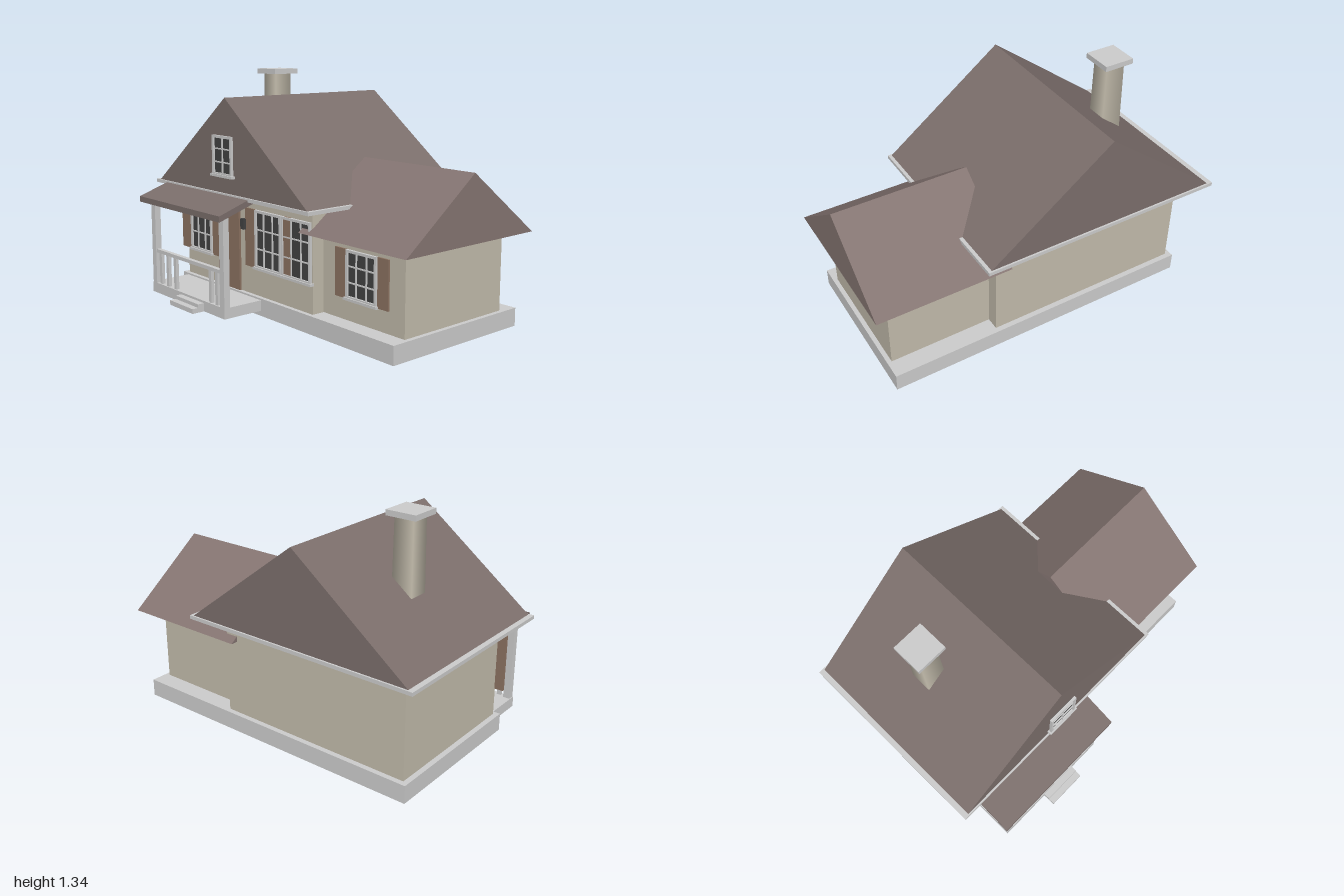
import * as THREE from 'three';

const mat = (color) => new THREE.MeshStandardMaterial({ color });
const GREY = mat(0xcccccc), WALL = mat(0xc2bbab), ROOF = mat(0x7b6e6b), WING_ROOF = mat(0x857572);
const WOOD = mat(0x8c7261), DARK = mat(0x424242);

export function createModel() {
  const house = new THREE.Group();
  house.name = 'house';

  const mesh = (name, geo, material, parent = house) => {
    const m = new THREE.Mesh(geo, material);
    m.name = name;
    parent.add(m);
    return m;
  };

  // box given by its limits on each axis
  const box = (name, [x0, x1], [y0, y1], [z0, z1], material, parent) => {
    const geo = new THREE.BoxGeometry(x1 - x0, y1 - y0, z1 - z0);
    geo.translate((x0 + x1) / 2, (y0 + y1) / 2, (z0 + z1) / 2);
    return mesh(name, geo, material, parent);
  };

  // outline pushed along z, or along x when the outline is given as (z, y)
  const prism = (name, points, axis, from, to, material) => {
    const shape = new THREE.Shape(points.map(([a, y]) => new THREE.Vector2(axis === 'x' ? -a : a, y)));
    const geo = new THREE.ExtrudeGeometry(shape, { depth: to - from, bevelEnabled: false });
    geo.translate(0, 0, from);
    if (axis === 'x') geo.rotateY(Math.PI / 2);
    return mesh(name, geo, material);
  };

  // foundation and walls
  box('foundation', [-0.9, 0.92], [0, 0.1], [-0.565, 0.36], GREY);
  box('mainWalls', [-0.87, 0.305], [0.1, 0.67], [-0.535, 0.335], WALL);
  box('wingWalls', [0.3, 0.895], [0.1, 0.54], [-0.46, 0.26], WALL);

  // roofs
  box('eavesBoard', [-1, 0.43], [0.66, 0.68], [-0.68, 0.47], GREY);
  prism('mainRoof', [[-0.97, 0.68], [0.41, 0.68], [-0.285, 1.205]], 'z', -0.67, 0.46, ROOF);
  prism('wingRoof', [[0.37, 0.53], [-0.575, 0.53], [-0.102, 0.885]], 'x', 0.23, 1, WING_ROOF);
  prism('porchRoof', [[0.655, 0.575], [0.655, 0.608], [0.4, 0.695], [0.4, 0.66]], 'x', -0.885, -0.07, ROOF);

  // chimney, slightly wider at the foot
  const stack = new THREE.CylinderGeometry(0.056 * Math.SQRT2, 0.062 * Math.SQRT2, 0.61, 4, 1);
  stack.rotateY(Math.PI / 4);
  mesh('chimney', stack.toNonIndexed(), WALL).position.set(-0.617, 1.005, -0.167);
  box('chimneyCap', [-0.705, -0.53], [1.31, 1.34], [-0.255, -0.08], GREY);

  // window: glass, frame, glazing bars and sill on a wall at depth z
  const makeWindow = (name, [x0, x1], [y0, y1], z, cols, rows, shutters = []) => {
    const g = new THREE.Group();
    g.name = name;
    house.add(g);
    const t = 0.014, bar = 0.007, depth = [z, z + 0.015];
    box('glass', [x0 + t, x1 - t], [y0 + t, y1 - t], [z - 0.004, z + 0.004], DARK, g);
    for (const x of [x0, x1 - t]) box('frameSide', [x, x + t], [y0, y1], depth, GREY, g);
    for (const y of [y0, y1 - t]) box('frameRail', [x0 + t, x1 - t], [y, y + t], depth, GREY, g);
    for (let i = 1; i < cols; i++) {
      const x = x0 + ((x1 - x0) * i) / cols;
      box('uprightBar', [x - bar / 2, x + bar / 2], [y0 + t, y1 - t], [z, z + 0.011], GREY, g);
    }
    for (let i = 1; i < rows; i++) {
      const y = y0 + ((y1 - y0) * i) / rows;
      box('crossBar', [x0 + t, x1 - t], [y - bar / 2, y + bar / 2], [z, z + 0.011], GREY, g);
    }
    box('sill', [x0 - 0.01, x1 + 0.01], [y0 - 0.008, y0 + 0.006], [z - 0.005, z + 0.022], GREY, g);
    for (const s of shutters) box('shutter', s, [y0 - 0.003, y1], [z - 0.008, z + 0.008], WOOD, g);
  };
  makeWindow('porchWindow', [-0.82, -0.6], [0.262, 0.59], 0.337, 3, 3, [[-0.92, -0.825], [-0.595, -0.5]]);
  makeWindow('middleWindow', [-0.175, 0.055], [0.262, 0.59], 0.337, 3, 3, [[-0.27, -0.18], [0.06, 0.14]]);
  makeWindow('cornerWindow', [0.06, 0.3], [0.262, 0.59], 0.337, 3, 3);
  makeWindow('wingWindow', [0.49, 0.71], [0.22, 0.475], 0.262, 3, 3, [[0.405, 0.485], [0.715, 0.79]]);
  makeWindow('atticWindow', [-0.375, -0.195], [0.78, 1], 0.472, 2, 3);

  // front door and lamp
  box('door', [-0.53, -0.325], [0.09, 0.575], [0.325, 0.348], WOOD);
  box('wallLamp', [-0.295, -0.262], [0.465, 0.525], [0.33, 0.36], DARK);

  // porch floor, steps, posts and railing
  box('porchFloor', [-0.85, -0.11], [0.03, 0.09], [0.35, 0.605], GREY);
  box('upperStep', [-0.54, -0.308], [0.03, 0.077], [0.6, 0.643], GREY);
  box('lowerStep', [-0.54, -0.308], [0.03, 0.057], [0.64, 0.68], GREY);
  for (const x of [-0.845, -0.15]) box('porchPost', [x, x + 0.04], [0.09, 0.61], [0.568, 0.605], GREY);
  box('handrail', [-0.805, -0.15], [0.275, 0.295], [0.575, 0.6], GREY);
  for (const x of [-0.77, -0.695, -0.615, -0.255, -0.195])
    box('baluster', [x - 0.012, x + 0.012], [0.09, 0.275], [0.578, 0.597], GREY);

  return house;
}
